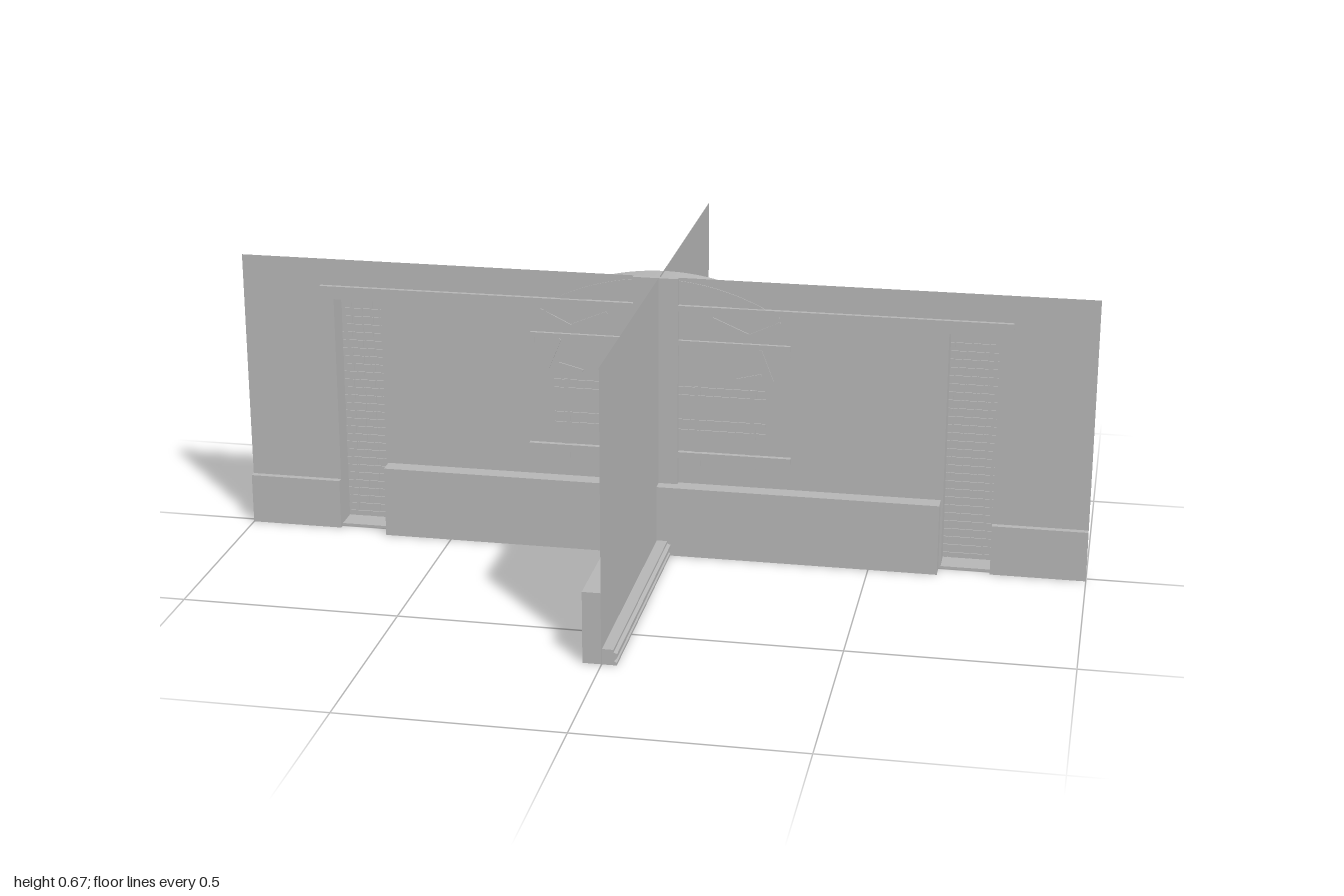
import * as THREE from 'three';
import { mergeGeometries } from 'three/addons/utils/BufferGeometryUtils.js';

export function createModel() {
  const model = new THREE.Group();
  const plaster = new THREE.MeshStandardMaterial({ color: 0xb6b6b6, side: THREE.DoubleSide });
  plaster.name = 'greyPlaster';

  const add = (name, geometry) => {
    const mesh = new THREE.Mesh(geometry, plaster);
    mesh.name = name;
    model.add(mesh);
    return mesh;
  };
  // Box given by its limits on each axis
  const boxGeo = (x0, x1, y0, y1, z0, z1) =>
    new THREE.BoxGeometry(x1 - x0, y1 - y0, z1 - z0)
      .translate((x0 + x1) / 2, (y0 + y1) / 2, (z0 + z1) / 2);
  const box = (name, ...limits) => add(name, boxGeo(...limits));
  const mirrored = (name, x0, x1, ...rest) => {
    box(name + 'Left', x0, x1, ...rest);
    box(name + 'Right', -x1, -x0, ...rest);
  };
  const H = 0.67;

  // Long wall sheet with two tall openings reaching the floor
  const outline = new THREE.Shape([
    [-1, 0], [-0.785, 0], [-0.785, 0.58], [-0.665, 0.58], [-0.665, 0],
    [0.665, 0], [0.665, 0.58], [0.785, 0.58], [0.785, 0], [1, 0], [1, H], [-1, H],
  ].map(([x, y]) => new THREE.Vector2(x, y)));
  add('longWall', new THREE.ShapeGeometry(outline));

  // Crossing wall sheet
  add('crossWall', new THREE.PlaneGeometry(1.34, H).rotateY(Math.PI / 2).translate(0, H / 2, 0));

  // Skirting boards along the front
  box('frontSkirting', -0.66, 0.66, 0, 0.17, 0, 0.04);
  mirrored('outerSkirting', 0.78, 1, 0, 0.12, 0, 0.015);

  // Skirting on one side of the crossing wall, low moulded runner on the other
  box('crossSkirting', -0.042, -0.001, 0, 0.165, -0.67, 0.665);
  const runner = new THREE.Shape([
    [0, 0], [0.032, 0], [0.032, 0.006], [0.026, 0.01], [0.033, 0.018],
    [0.033, 0.027], [0.025, 0.03], [0.025, 0.036], [0, 0.036],
  ].map(([x, y]) => new THREE.Vector2(x, y)));
  add('crossRunner', new THREE.ExtrudeGeometry(runner, { depth: 1.335, bevelEnabled: false })
    .translate(0.001, 0, -0.67));
  box('skirtingBlock', -0.09, -0.04, 0.01, 0.07, 0.04, 0.06);

  // Corner trims where the walls meet
  box('cornerTrim', -0.06, 0.045, 0.17, H, 0, 0.012);

  // Brick layer: staggered courses on a thin backing
  box('brickBacking', -0.78, 0.78, 0, 0.575, -0.077, -0.061);
  const bricks = [];
  const rows = 29, rowH = 0.575 / rows, brickL = 0.052;
  for (let r = 0; r < rows; r++) {
    for (let x = -0.78 - (r % 2) * brickL / 2; x < 0.779; x += brickL) {
      const a = Math.max(x + 0.001, -0.78), b = Math.min(x + brickL - 0.001, 0.78);
      if (b - a > 0.004) {
        bricks.push(boxGeo(a, b, r * rowH + 0.0015, (r + 1) * rowH - 0.0015, -0.08, -0.058));
      }
    }
  }
  add('brickwork', mergeGeometries(bricks));

  // Frame holding the bricks
  mirrored('sideJamb', 0.78, 0.79, 0, 0.58, -0.086, 0);
  mirrored('innerReturn', 0.66, 0.665, 0, 0.58, -0.058, 0);
  box('bottomPlate', -0.79, 0.785, 0, 0.006, -0.112, 0);
  box('topPlate', -0.79, 0.785, 0.572, 0.59, -0.112, 0);

  // Studs, headers and boxes on the back
  for (const x of [0.06, 0.15, 0.305, 0.555]) {
    mirrored('stud', x - 0.008, x + 0.008, 0.006, 0.572, -0.09, -0.06);
  }
  mirrored('edgeStud', 0.755, 0.78, 0.006, 0.572, -0.086, -0.06);
  mirrored('header', 0.29, 0.57, 0.475, 0.505, -0.096, -0.08);
  box('centreHeader', -0.2, 0.2, 0.475, 0.505, -0.096, -0.08);
  mirrored('shortPost', 0.205, 0.22, 0.006, 0.13, -0.09, -0.08);
  mirrored('wallBox', 0.395, 0.485, 0.08, 0.185, -0.086, -0.078);

  // Ledge moulding and rails above the bricks
  box('ledge', -0.81, 0.81, 0.592, 0.606, -0.035, 0.01);
  box('backRail', -0.79, 0.785, 0.59, 0.612, -0.06, -0.03);
  for (const s of [-1, 1]) {
    const pipe = new THREE.CylinderGeometry(0.014, 0.014, 0.48, 10).rotateZ(Math.PI / 2);
    add(s > 0 ? 'railPipeLeft' : 'railPipeRight', pipe.translate(s * 0.53, 0.618, -0.05));
  }

  // Curved arch head, mostly behind the wall and just showing in front
  const arch = new THREE.Shape();
  const R = 0.54, cy = 0.125, a0 = Math.asin(0.28 / R);
  arch.absarc(0, cy, R, Math.PI / 2 - a0, Math.PI / 2 + a0, false);
  arch.absarc(0, cy, R - 0.03, Math.PI / 2 + a0, Math.PI / 2 - a0, true);
  add('archHead', new THREE.ExtrudeGeometry(arch, { depth: 0.067, bevelEnabled: false, curveSegments: 20 })
    .translate(0, 0, -0.065));

  // Window sill, upper ledge and thin glazing bars
  box('windowSill', -0.31, 0.31, 0.236, 0.25, -0.03, 0.012);
  box('windowLedge', -0.305, 0.305, 0.51, 0.522, -0.03, 0.008);
  mirrored('ledgeEnd', 0.295, 0.305, 0.495, 0.51, -0.02, 0.005);
  for (const y of [0.3, 0.325, 0.385, 0.405]) {
    box('windowBar', -0.25, 0.25, y - 0.004, y + 0.004, -0.01, 0.003);
  }
  for (const x of [0.09, 0.22]) {
    mirrored('windowUpright', x - 0.007, x + 0.007, 0.215, 0.41, -0.01, 0.002);
  }

  // Slanted fan pieces under the arch
  for (const s of [-1, 1]) {
    for (const [x, y, w, tilt] of [[0.245, 0.558, 0.08, 0.45], [0.165, 0.56, 0.09, -0.4],
      [0.21, 0.44, 0.06, 0.25], [0.25, 0.47, 0.08, -1.2]]) {
      const slat = add('fanSlat', new THREE.BoxGeometry(w, 0.006, 0.012));
      slat.position.set(s * x, y, -0.003);
      slat.rotation.z = s * tilt;
    }
  }
  return model;
}
